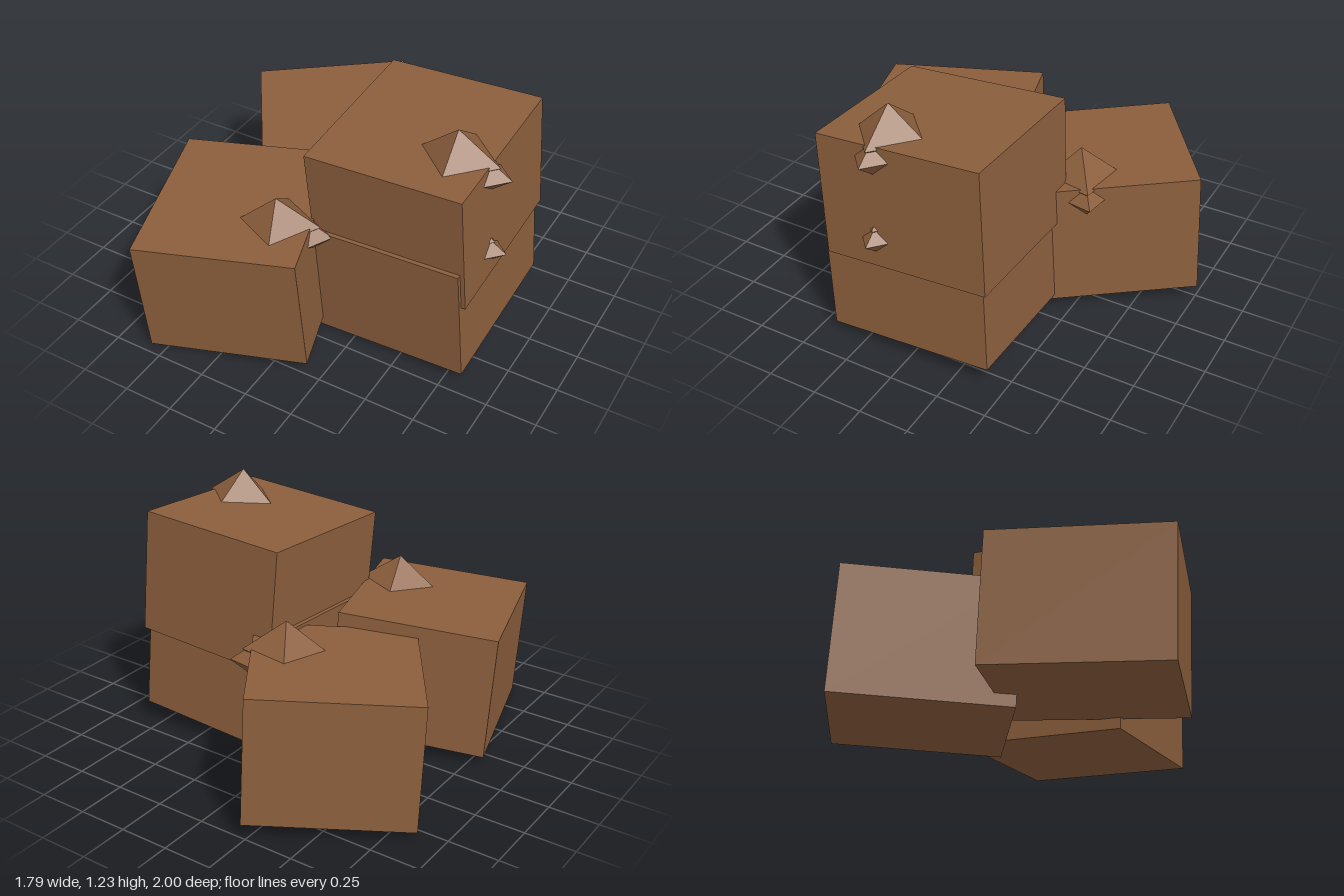
import * as THREE from 'three';

export function createModel() {
  const model = new THREE.Group();
  model.name = 'blockPile';
  const brown = new THREE.MeshStandardMaterial({ color: 0x8b5e3c });
  brown.name = 'brown';

  const blockGeometry = new THREE.BoxGeometry(0.785, 0.62, 0.84);
  const spikeGeometry = new THREE.OctahedronGeometry(1).scale(0.2, 0.15, 0.18);

  function add(parent, geometry, name, x, y, z, scale = 1) {
    const mesh = new THREE.Mesh(geometry, brown);
    mesh.name = name;
    mesh.position.set(x, y, z);
    mesh.scale.setScalar(scale);
    parent.add(mesh);
  }

  // A tilted block with a large spike on top and a half-size one on its left side
  function addBlock(name, position, pitch, yaw, roll) {
    const block = new THREE.Group();
    block.name = name;
    block.position.set(...position);
    block.rotation.set(pitch, yaw, roll, 'YXZ');
    add(block, blockGeometry, 'block', 0, 0, 0);
    add(block, spikeGeometry, 'topSpike', 0.235, 0.3, 0.125);
    add(block, spikeGeometry, 'sideSpike', 0.39, 0.245, 0.125, 0.5);
    model.add(block);
  }

  addBlock('lowerBlock', [0.425, 0.36, 0.022], 0.068, 0, 0.048);
  addBlock('upperBlock', [0.425, 0.78, 0.03], 0.068, 0, 0.048);
  addBlock('frontBlock', [-0.34, 0.352, 0.457], 0.053, 0.295, 0.053);
  addBlock('backBlock', [-0.328, 0.347, -0.424], 0.046, 0.592, 0.045);

  return model;
}
